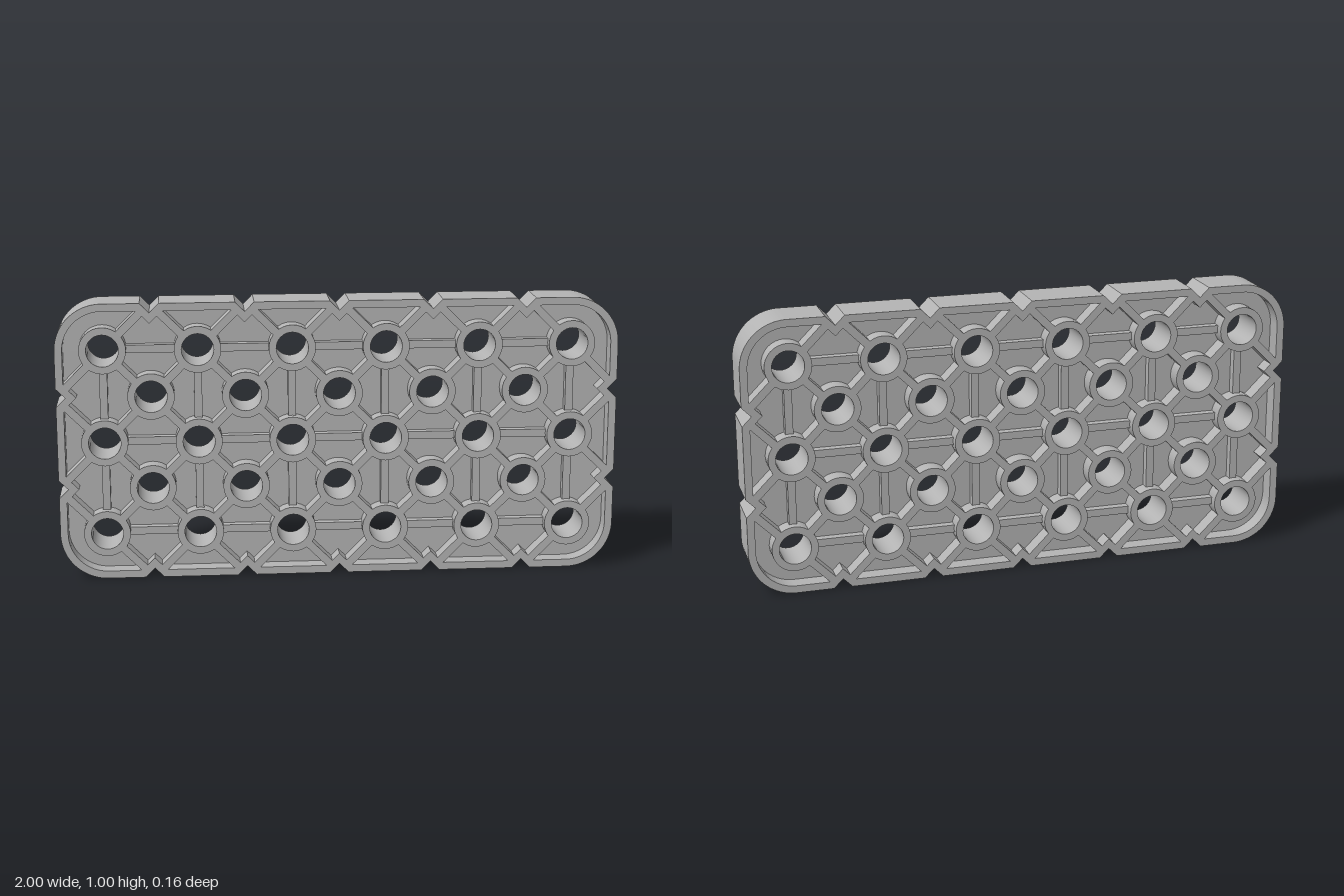
import * as THREE from 'three';
import { toCreasedNormals } from 'three/addons/utils/BufferGeometryUtils.js';

const PITCH = 1 / 3, DEPTH = 0.16, CORNER = 0.167, NOTCH = 0.0335;
const HOLE = 0.057, BOSS = 0.083, RIM = 0.027, RIB = 0.028;

// Rounded 2 x 1 outline with V notches on all edges, moved inwards by `inset`.
function outline(inset, PathType) {
  const path = new PathType();
  const r = CORNER - inset;
  const half = NOTCH + inset * (Math.SQRT2 - 1);
  const apex = NOTCH + inset * Math.SQRT2;
  const sides = [
    { angle: 0, reach: 0.5, notches: [-2, -1, 0, 1, 2].map((n) => n * PITCH), len: 1 },
    { angle: Math.PI / 2, reach: 1, notches: [-0.5, 0.5].map((n) => n * PITCH), len: 0.5 },
    { angle: Math.PI, reach: 0.5, notches: [-2, -1, 0, 1, 2].map((n) => n * PITCH), len: 1 },
    { angle: Math.PI * 1.5, reach: 1, notches: [-0.5, 0.5].map((n) => n * PITCH), len: 0.5 },
  ];
  sides.forEach(({ angle, reach, notches, len }, i) => {
    const c = Math.cos(angle), s = Math.sin(angle);
    // u runs along the side, v is the depth from the outer edge
    const at = (u, v) => [u * c + (reach - v) * s, u * s - (reach - v) * c];
    if (i === 0) path.moveTo(...at(-len + CORNER, inset));
    else path.lineTo(...at(-len + CORNER, inset));
    for (const n of notches) {
      path.lineTo(...at(n - half, inset));
      path.lineTo(...at(n, apex));
      path.lineTo(...at(n + half, inset));
    }
    path.lineTo(...at(len - CORNER, inset));
    path.absarc(...at(len - CORNER, CORNER), r, angle - Math.PI / 2, angle, false);
  });
  path.closePath();
  return path;
}

function circle(x, y, r) {
  return new THREE.Path().absarc(x, y, r, 0, Math.PI * 2, true);
}

// Extrusion centred on z = 0
function slab(shape, depth) {
  const geo = new THREE.ExtrudeGeometry(shape, { depth, bevelEnabled: false, curveSegments: 16 });
  geo.translate(0, 0, -depth / 2);
  return toCreasedNormals(geo, 0.6);
}

export function createModel() {
  const model = new THREE.Group();
  model.name = 'perforatedPlate';
  const grey = new THREE.MeshStandardMaterial({ color: 0xb4b4b4 });
  grey.name = 'grey';

  const add = (name, geo, x = 0, y = 0, turn = 0) => {
    const mesh = new THREE.Mesh(geo, grey);
    mesh.name = name;
    mesh.position.set(x, y + 0.5, 0);
    mesh.rotation.z = turn;
    model.add(mesh);
  };

  // Hole centres: a 6 x 3 grid and a 5 x 2 grid between it
  const mainHoles = [], midHoles = [];
  for (let j = -1; j <= 1; j++)
    for (let i = -2.5; i <= 2.5; i++) mainHoles.push([i * PITCH, j * PITCH]);
  for (let j = -0.5; j <= 0.5; j++)
    for (let i = -2; i <= 2; i++) midHoles.push([i * PITCH, j * PITCH]);

  // Notched outer wall
  const rim = outline(0, THREE.Shape);
  rim.holes.push(outline(RIM, THREE.Path));
  add('rim', slab(rim, DEPTH));

  // Thin web in the middle
  const web = outline(RIM / 2, THREE.Shape);
  for (const [x, y] of [...mainHoles, ...midHoles]) web.holes.push(circle(x, y, 0.07));
  add('web', slab(web, 0.04));

  // Tubes round the holes
  const ring = new THREE.Shape().absarc(0, 0, BOSS, 0, Math.PI * 2, false);
  ring.holes.push(circle(0, 0, HOLE));
  const tube = slab(ring, DEPTH);
  for (const [x, y] of mainHoles) add('mainTube', tube, x, y);
  for (const [x, y] of midHoles) add('middleTube', tube, x, y);

  // Low straight ribs between neighbouring main tubes
  const straight = new THREE.BoxGeometry(PITCH - 0.15, RIB, 0.1);
  for (const [x, y] of mainHoles) {
    if (x < 0.8) add('horizontalRib', straight, x + PITCH / 2, y);
    if (y < 0.3) add('verticalRib', straight, x, y + PITCH / 2, Math.PI / 2);
  }

  // Full-height diagonal ribs to the middle tubes and to the notches
  const span = PITCH / Math.SQRT2;
  const start = 0.075;
  for (const [x, y] of mainHoles) {
    for (const sx of [-1, 1]) for (const sy of [-1, 1]) {
      const ex = Math.abs(x + sx * PITCH / 2), ey = Math.abs(y + sy * PITCH / 2);
      const atSide = ex > 0.9, atTop = ey > 0.4;
      if (atSide && atTop) continue;
      const end = atSide || atTop ? span - 0.035 : span - start;
      const mid = (start + end) / 2 / Math.SQRT2;
      add('diagonalRib', new THREE.BoxGeometry(end - start, RIB, DEPTH),
        x + sx * mid, y + sy * mid, sx * sy * Math.PI / 4);
    }
  }
  return model;
}
